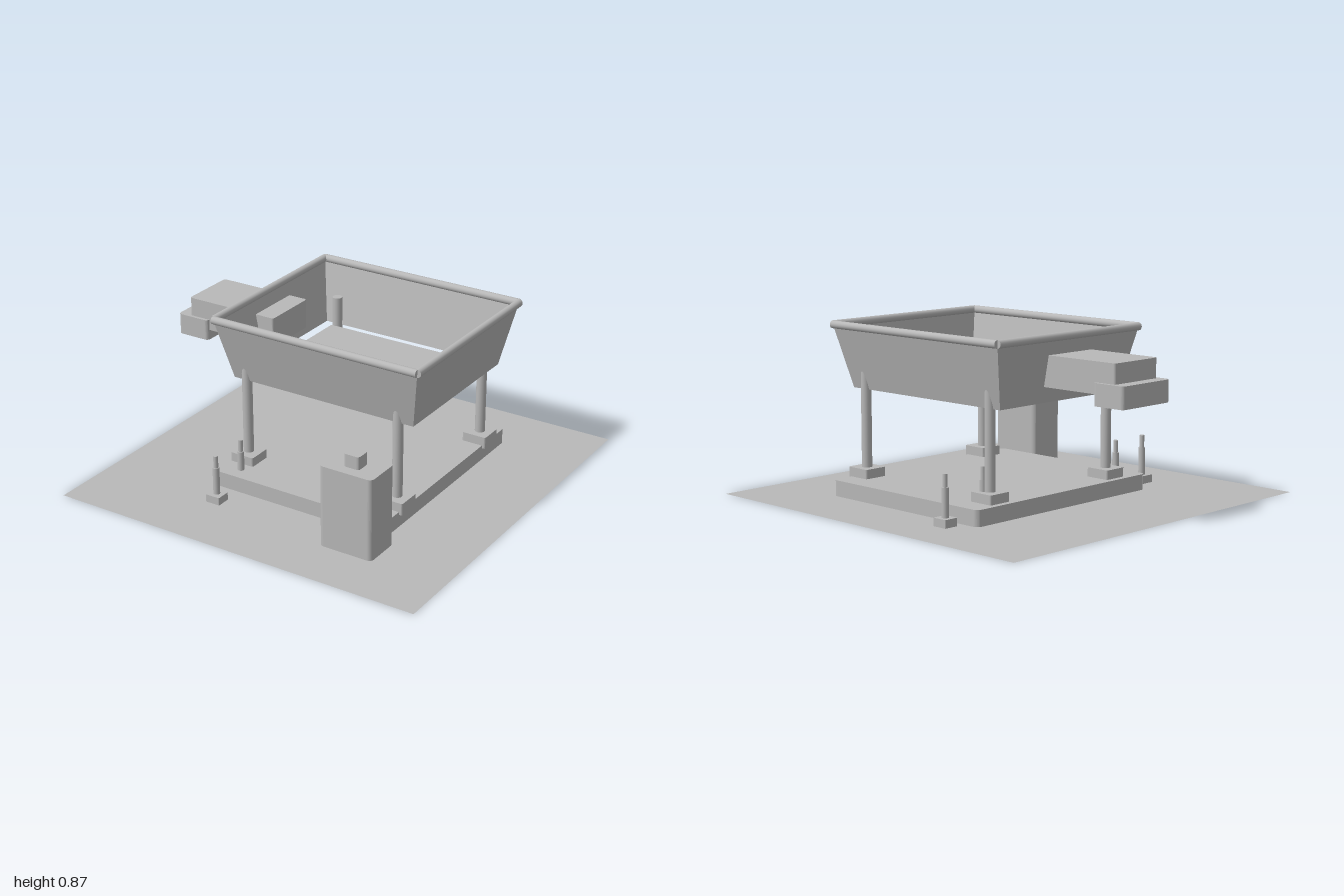
import * as THREE from 'three';

export function createModel() {
  const model = new THREE.Group();
  model.name = 'hopperStand';
  const grey = new THREE.MeshStandardMaterial({ color: 0xb8b8b8, side: THREE.DoubleSide });
  grey.name = 'plain grey';

  const add = (name, geometry, x = 0, y = 0, z = 0) => {
    const mesh = new THREE.Mesh(geometry, grey);
    mesh.name = name;
    mesh.position.set(x, y, z);
    model.add(mesh);
    return mesh;
  };

  // Block with rounded vertical edges, given by its limits on each axis
  const block = (name, [x0, x1], [y0, y1], [z0, z1], r) => {
    const w = (x1 - x0) / 2, d = (z1 - z0) / 2;
    const s = new THREE.Shape();
    s.absarc(w - r, d - r, r, 0, Math.PI / 2);
    s.absarc(-w + r, d - r, r, Math.PI / 2, Math.PI);
    s.absarc(-w + r, -d + r, r, Math.PI, Math.PI * 1.5);
    s.absarc(w - r, -d + r, r, Math.PI * 1.5, Math.PI * 2);
    const g = new THREE.ExtrudeGeometry(s, { depth: y1 - y0, bevelEnabled: false, curveSegments: 4 });
    g.rotateX(-Math.PI / 2);
    return add(name, g, (x0 + x1) / 2, y0, (z0 + z1) / 2);
  };

  // Upright round bar
  const bar = (name, r, x, y0, y1, z) =>
    add(name, new THREE.CylinderGeometry(r, r, y1 - y0, 16), x, (y0 + y1) / 2, z);

  // Ground sheet and base slab
  add('ground', new THREE.PlaneGeometry(2, 2).rotateX(-Math.PI / 2));
  block('baseSlab', [-0.455, 0.557], [0.008, 0.088], [-0.673, 0.518], 0.03);

  // Legs and foot pads
  for (const x of [-0.357, 0.508]) {
    for (const z of [-0.492, 0.326]) {
      block('footPad', [x - 0.067, x + 0.067], [0.073, 0.135], [z - 0.064, z + 0.064], 0.01);
      bar('leg', 0.026, x, 0.13, 0.68, z);
    }
  }

  // Hopper: four sloping sheets, open above and below
  const cx = 0.085, cz = -0.08;
  const top = { x: 0.572, y: 0.845, z: 0.495 };
  const bottom = { x: 0.51, y: 0.527, z: 0.415 };
  const corners = [[-1, 1], [1, 1], [1, -1], [-1, -1]];
  const points = [];
  corners.forEach((a, i) => {
    const b = corners[(i + 1) % 4];
    const at = (c, level) => [c[0] * level.x, level.y, c[1] * level.z];
    points.push(...at(a, bottom), ...at(b, bottom), ...at(b, top));
    points.push(...at(a, bottom), ...at(b, top), ...at(a, top));
  });
  const walls = new THREE.BufferGeometry();
  walls.setAttribute('position', new THREE.Float32BufferAttribute(points, 3));
  walls.computeVertexNormals();
  add('hopperWalls', walls, cx, 0, cz);

  // Hopper floor, with a gap all round
  add('hopperFloor', new THREE.PlaneGeometry(0.935, 0.78).rotateX(-Math.PI / 2), cx + 0.002, 0.524, cz);

  // Rolled rim
  for (const side of [-1, 1]) {
    const long = new THREE.CylinderGeometry(0.02, 0.02, top.x * 2, 16).rotateZ(Math.PI / 2);
    add('rimLong', long, cx, top.y, cz + side * top.z);
    const short = new THREE.CylinderGeometry(0.02, 0.02, top.z * 2, 16).rotateX(Math.PI / 2);
    add('rimShort', short, cx + side * top.x, top.y, cz);
  }

  // Side feeder and its outlet
  block('feeder', [-0.88, -0.365], [0.607, 0.76], [-0.216, 0.083], 0.012);
  block('feederOutlet', [-0.945, -0.762], [0.555, 0.663], [-0.235, 0.1], 0.02);

  // Control cabinet
  block('cabinet', [0.33, 0.617], [0.008, 0.428], [0.537, 0.736], 0.025);
  block('cabinetTop', [0.43, 0.514], [0.42, 0.493], [0.6, 0.68], 0.015);

  // Stepped bolts beside and on the slab
  for (const z of [0.645, 0.44, -0.507, -0.752]) {
    const x = -0.325;
    block('boltBase', [x - 0.04, x + 0.04], [0.008, 0.048], [z - 0.038, z + 0.038], 0.005);
    bar('boltSleeve', 0.017, x, 0.04, 0.19, z);
    bar('boltTip', 0.012, x, 0.18, 0.253, z);
  }

  return model;
}
